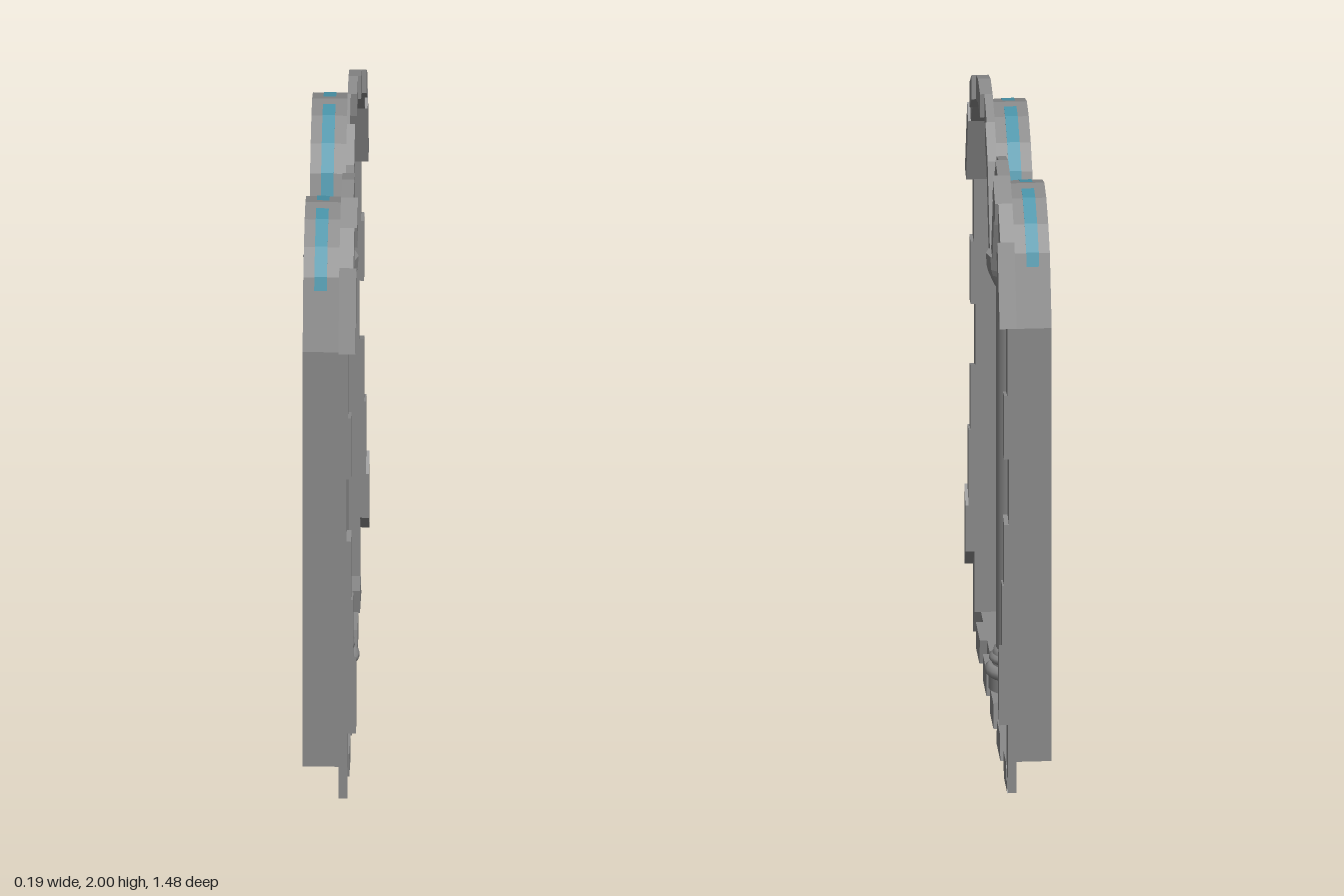
import * as THREE from 'three';

const stone = new THREE.MeshStandardMaterial({ color: 0x898989 });
const thinStone = new THREE.MeshStandardMaterial({ color: 0x898989, side: THREE.DoubleSide, flatShading: true });
const glassBlue = new THREE.MeshStandardMaterial({ color: 0x4993a8 });

// Arch lines for the +z light as [z, y], from jamb to middle column
const outerArch = [[0.74, 1.565], [0.645, 1.822], [0.555, 1.92], [0.46, 1.98], [0.372, 2.0],
  [0.284, 1.98], [0.19, 1.92], [0.096, 1.822], [0, 1.565]];
const innerArch = [[0.686, 1.545], [0.608, 1.77], [0.54, 1.843], [0.456, 1.9], [0.372, 1.92],
  [0.29, 1.9], [0.205, 1.843], [0.138, 1.77], [0.058, 1.545]];
const BACK = -0.075, FACE = 0.04, SILL = 0.085;

const mirror = (points) => points.map(([z, y]) => [-z, y]);

// Two triangles from four corners
const quad = (a, b, c, d) => [a, b, c, a, c, d].flat();

// Wall over the edge p-q of a [z, y] outline, running from depth x0 to x1
const wall = ([z, y], [z2, y2], x0, x1) => quad([x0, y, z], [x1, y, z], [x1, y2, z2], [x0, y2, z2]);

function facets(positions) {
  const geo = new THREE.BufferGeometry();
  geo.setAttribute('position', new THREE.Float32BufferAttribute(positions, 3));
  geo.computeVertexNormals();
  return geo;
}

// Open-backed block; corners run clockwise as seen from the face
function blockGeometry(p, depth) {
  const front = [3, 2, 1, 0].map((i) => [depth, p[i][1], p[i][0]]);
  return facets([...quad(...front), ...p.flatMap((corner, i) => wall(corner, p[(i + 1) % 4], FACE, depth))]);
}

export function createModel() {
  const model = new THREE.Group();
  const add = (name, geo, mat, parent = model) => {
    const mesh = new THREE.Mesh(geo, mat);
    mesh.name = name;
    parent.add(mesh);
    return mesh;
  };

  // Twin-arch outline shared by the reveal and the glass
  const outline = [[0.686, SILL], ...innerArch, ...mirror(innerArch).reverse(), [-0.686, SILL]];

  // Thin reveal following the outline
  add('reveal', facets(outline.flatMap((p, i) => wall(p, outline[(i + 1) % outline.length], BACK, FACE))), thinStone);

  // Glass pane: inside the reveal, its edge just showing through on the arch shoulders
  const pane = new THREE.Shape(outline.map(([z, y]) => {
    const shoulder = y > 1.7 && y < 1.91;
    return new THREE.Vector2(-z * 0.9992, y + (shoulder ? 0.002 : y > 1 ? -0.001 : 0.0005));
  }));
  const paneGeo = new THREE.ExtrudeGeometry(pane, { depth: 0.04, bevelEnabled: false });
  add('glass', paneGeo.rotateY(Math.PI / 2).translate(-0.04, 0, 0), glassBlue);

  // Surround of blocks with uneven projection
  const surround = new THREE.Group();
  surround.name = 'surround';
  model.add(surround);
  const block = (name, points, depth) => add(name, blockGeometry(points, depth), thinStone, surround);

  // Jamb joints: [outer y, inner y, projection of the block above]
  const jambs = [[0, SILL, 0.068], [0.23, 0.29, 0.096], [0.5, 0.445, 0.086], [0.7, 0.7, 0.08],
    [0.905, 0.92, 0.065], [1.125, 1.125, 0.08], [1.34, 1.335, 0.07], [1.565, 1.545, 0]];
  const archDepths = [
    [0.094, 0.085, 0.094, 0.08, 0.08, 0.066, 0.07, 0.07],
    [0.094, 0.085, 0.095, 0.08, 0.07, 0.05, 0.066, 0.066],
  ];
  [1, -1].forEach((side, s) => {
    const flip = ([a, b, c, d]) => (side > 0 ? [a, b, c, d] : mirror([b, a, d, c]));
    for (let i = 0; i < 8; i++) {
      block('archBlock', flip([outerArch[i], outerArch[i + 1], innerArch[i + 1], innerArch[i]]), archDepths[s][i]);
    }
    for (let i = 0; i < jambs.length - 1; i++) {
      const [o, n, d] = jambs[i], [o2, n2] = jambs[i + 1];
      block('jambBlock', flip([[0.74, o], [0.74, o2], [0.686, n2], [0.686, n]]), d);
    }
  });

  // Sill joints: [lower z, upper z]
  const joints = [[0.74, 0.686], [0.58, 0.594], [0.445, 0.425], [0.287, 0.302], [0.149, 0.154], [0, 0],
    [-0.154, -0.143], [-0.287, -0.297], [-0.445, -0.425], [-0.594, -0.578], [-0.74, -0.686]];
  for (let i = 0; i < joints.length - 1; i++) {
    const [a, b] = joints[i], [a2, b2] = joints[i + 1];
    block('sillBlock', [[a2, 0], [a, 0], [b, SILL], [b2, SILL]], i % 2 ? 0.07 : 0.047);
  }

  // Middle column
  const column = new THREE.Group();
  column.name = 'column';
  column.position.x = -0.005;
  model.add(column);
  const lathe = (name, profile, sides, mat) =>
    add(name, new THREE.LatheGeometry(profile.map(([r, y]) => new THREE.Vector2(r, y)), sides), mat, column);

  // Base: plinth and two rounded rings, each closed toward the shaft
  add('plinth', new THREE.CylinderGeometry(0.08, 0.08, 0.045, 20).translate(0, SILL + 0.0225, 0), stone, column);
  for (const [r, y0, y1] of [[0.09, 0.126, 0.168], [0.077, 0.172, 0.205]]) {
    const h = y1 - y0;
    lathe('baseRing', [[0.05, y0], [r - 0.012, y0], [r, y0 + h * 0.3], [r, y0 + h * 0.7], [r - 0.012, y1], [0.05, y1]], 20, stone);
  }
  lathe('baseCollar', [[0.068, 0.165], [0.068, 0.2], [0.062, 0.22], [0.05, 0.221]], 20, stone);
  lathe('shaft', [[0.055, 0.21], [0.055, 1.45]], 20, stone);

  // Flared capital, a little deeper than wide
  const capital = lathe('capital', [[0.054, 1.44], [0.072, 1.485], [0.077, 1.505], [0.08, 1.55], [0, 1.55]], 12, thinStone);
  capital.scale.set(1.1, 1, 0.95);

  return model;
}
